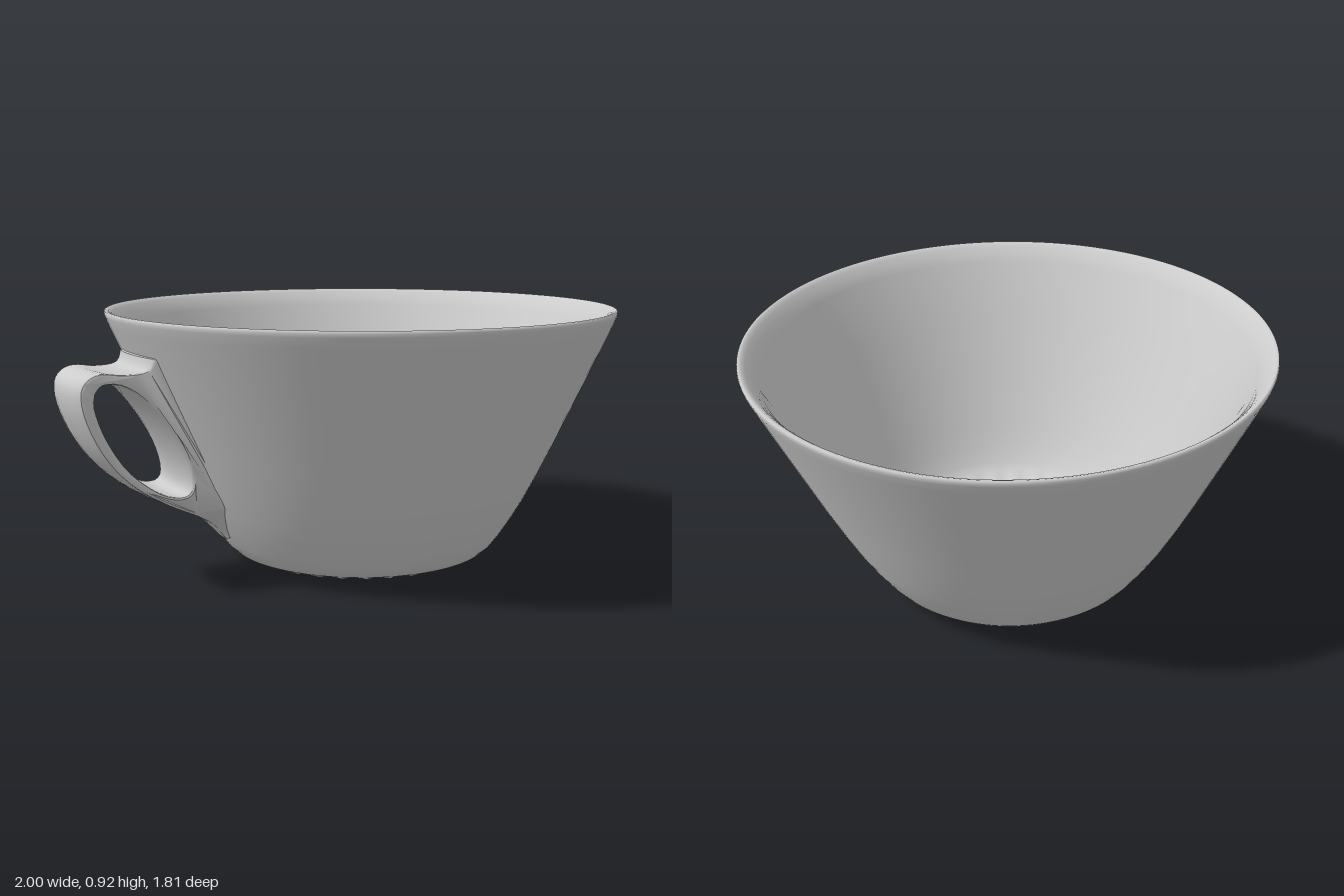
import * as THREE from 'three';
import { toCreasedNormals } from 'three/addons/utils/BufferGeometryUtils.js';

const CUP_X = 0.095; // the bowl sits off centre to balance the handle
const vectors = (pairs) => pairs.map(([x, y]) => new THREE.Vector2(x, y));

// Bowl: outside up to the rim, over a bevelled lip, then down the inside
function makeBowl(material) {
  const profile = vectors([
    [0, 0], [0.2, 0.007], [0.33, 0.016], [0.42, 0.031], [0.47, 0.05],
    [0.5, 0.078], [0.527, 0.115], [0.565, 0.175], [0.605, 0.245], [0.655, 0.345],
    [0.705, 0.452], [0.8, 0.665], [0.89, 0.868], [0.903, 0.9], [0.905, 0.911],
    [0.903, 0.918], [0.898, 0.92], [0.889, 0.917], [0.878, 0.907], [0.86, 0.885],
    [0.84, 0.855], [0.748, 0.665], [0.653, 0.452], [0.558, 0.255], [0.517, 0.18],
    [0.484, 0.128], [0.46, 0.104], [0.43, 0.086], [0.37, 0.07], [0.3, 0.06],
    [0.2, 0.053], [0, 0.048],
  ]);
  const geometry = new THREE.LatheGeometry(profile, 128, -Math.PI / 2);

  // Shallow flutes round the edge of the floor, inside and underneath
  const position = geometry.attributes.position;
  for (let i = 0; i < position.count; i++) {
    const x = position.getX(i), z = position.getZ(i);
    const r = Math.hypot(x, z);
    if (r < 0.3 || r > 0.45) continue;
    const flute = 0.004 * Math.cos(32 * Math.atan2(z, x));
    position.setY(i, position.getY(i) + flute);
  }
  geometry.computeVertexNormals();
  const bowl = new THREE.Mesh(geometry, material);
  bowl.name = 'bowl';
  bowl.position.x = CUP_X;
  return bowl;
}

// Broad strap handle: side outline with a finger hole, extruded across
function makeHandle(material) {
  const shape = new THREE.Shape();
  shape.moveTo(-0.742, 0.805);
  shape.lineTo(-0.772, 0.795);
  shape.splineThru(vectors([
    [-0.79, 0.757], [-0.86, 0.749], [-0.93, 0.757], [-0.975, 0.742], [-1, 0.7],
    [-0.99, 0.62], [-0.945, 0.515], [-0.88, 0.425], [-0.8, 0.355],
    [-0.7, 0.298], [-0.6, 0.25], [-0.52, 0.2], [-0.46, 0.135],
  ]));
  [[-0.435, 0.14], [-0.47, 0.215], [-0.508, 0.28], [-0.545, 0.35], [-0.567, 0.4],
    [-0.59, 0.452], [-0.622, 0.525], [-0.655, 0.6], [-0.7, 0.7]]
    .forEach(([x, y]) => shape.lineTo(x, y));
  shape.closePath();

  const hole = new THREE.Path();
  hole.moveTo(-0.952, 0.695);
  hole.splineThru(vectors([
    [-0.925, 0.72], [-0.86, 0.712], [-0.785, 0.655], [-0.705, 0.545],
    [-0.655, 0.44], [-0.643, 0.36], [-0.675, 0.333], [-0.75, 0.353],
    [-0.85, 0.435], [-0.92, 0.545], [-0.955, 0.645], [-0.952, 0.695],
  ]));
  shape.holes.push(hole);

  const bevel = 0.008;
  const geometry = new THREE.ExtrudeGeometry(shape, {
    depth: 0.28 - 2 * bevel, steps: 6, curveSegments: 3,
    bevelThickness: bevel, bevelSize: bevel, bevelOffset: -bevel, bevelSegments: 2,
  });
  geometry.translate(0, 0, bevel - 0.14);

  // Curve the strap round the bowl, flare it at the joints, narrow the lower tail
  const position = geometry.attributes.position;
  for (let i = 0; i < position.count; i++) {
    const x = position.getX(i), y = position.getY(i);
    const wallX = CUP_X - 0.505 - 0.445 * y;
    const gap = Math.max(0, wallX - x);
    const flare = 1 + 0.14 * Math.exp(-gap / 0.05);
    const tail = 0.2 + 0.8 * THREE.MathUtils.smoothstep(y, 0.13, 0.33);
    const z = position.getZ(i) * flare * tail;
    position.setX(i, x + (z * z) / 1.4);
    position.setZ(i, z - 0.005 - gap * 0.065);
  }
  const handle = new THREE.Mesh(toCreasedNormals(geometry, 0.6), material);
  handle.name = 'handle';
  return handle;
}

export function createModel() {
  const glaze = new THREE.MeshStandardMaterial({ color: 0xcccccc });
  glaze.name = 'grey glaze';
  const cup = new THREE.Group();
  cup.name = 'cup';
  cup.add(makeBowl(glaze), makeHandle(glaze));
  return cup;
}
